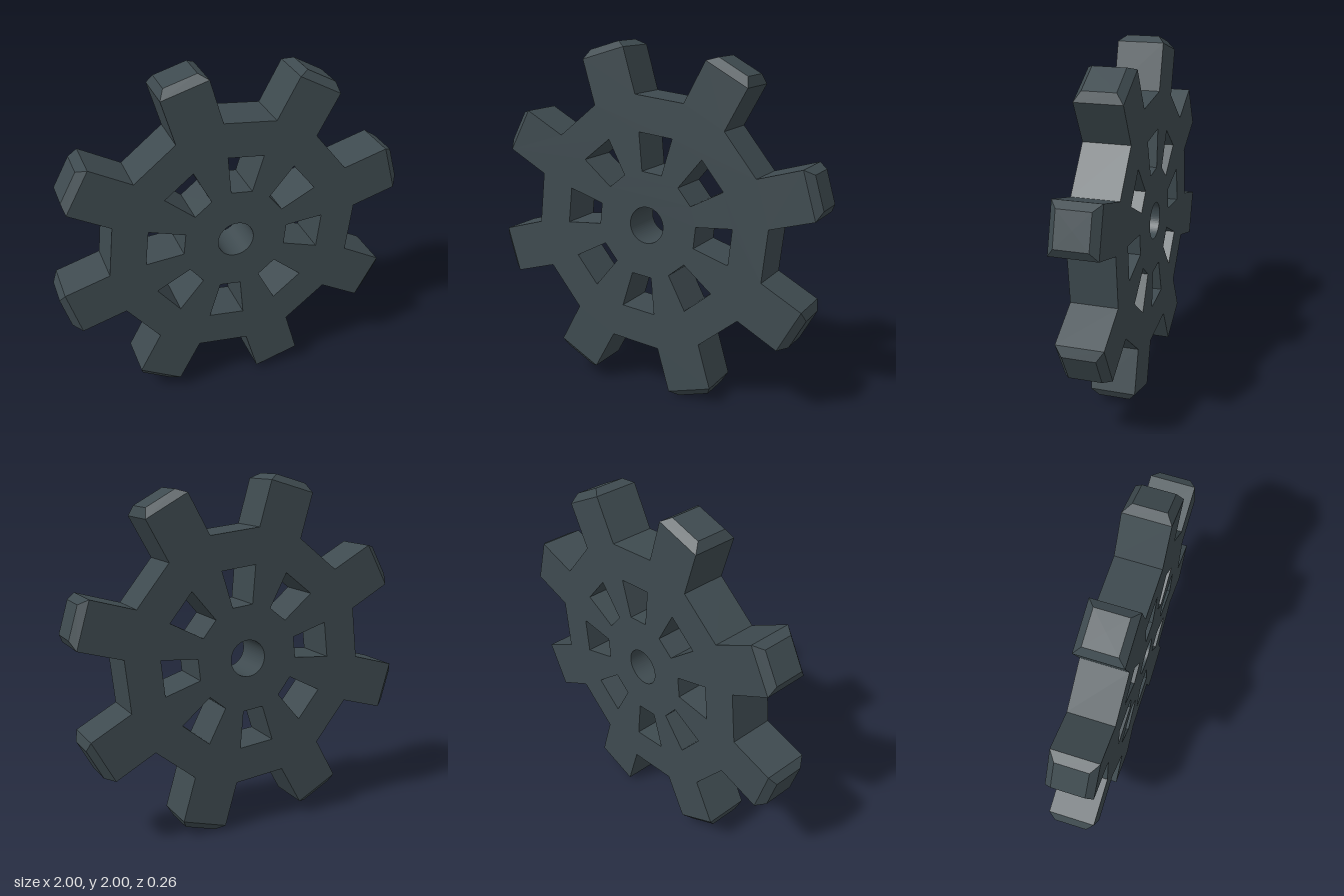
import * as THREE from 'three';

const TEETH = 8;
const STEP = (Math.PI * 2) / TEETH;
const START = THREE.MathUtils.degToRad(16.2);
const HALF_DEPTH = 0.128;
const HALF_WIDTH = 0.135;
const ROOT = 0.714;
const SHOULDER = 0.974;
const TIP = 1.015;

// Point at radial distance u and sideways offset v along a given angle
function polar(angle, u, v) {
  const c = Math.cos(angle), s = Math.sin(angle);
  return new THREE.Vector2(u * c - v * s, u * s + v * c);
}

export function createModel() {
  const model = new THREE.Group();
  model.name = 'gear';
  const metal = new THREE.MeshStandardMaterial({ color: 0x3e4a4f, flatShading: true });
  metal.name = 'dark slate metal';

  const wheel = new THREE.Group();
  wheel.name = 'gearWheel';
  wheel.position.y = 1;
  model.add(wheel);

  // Toothed outline with straight roots, and a tapered window between teeth
  const outline = [];
  const windows = [];
  for (let i = 0; i < TEETH; i++) {
    const a = START + i * STEP;
    outline.push(
      polar(a, ROOT, -HALF_WIDTH), polar(a, SHOULDER, -HALF_WIDTH),
      polar(a, SHOULDER, HALF_WIDTH), polar(a, ROOT, HALF_WIDTH));
    const b = a + STEP / 2;
    windows.push(new THREE.Path([
      polar(b, 0.299, -0.061), polar(b, 0.299, 0.061),
      polar(b, 0.512, 0.103), polar(b, 0.512, -0.103)]));
  }
  const shape = new THREE.Shape(outline);
  const bore = new THREE.Path();
  bore.absarc(0, 0, 0.104, 0, Math.PI * 2, true);
  shape.holes.push(bore, ...windows);

  const bodyGeometry = new THREE.ExtrudeGeometry(shape, {
    depth: HALF_DEPTH * 2, bevelEnabled: false, curveSegments: 32,
  });
  bodyGeometry.translate(0, 0, -HALF_DEPTH);
  const body = new THREE.Mesh(bodyGeometry, metal);
  body.name = 'gearBody';
  wheel.add(body);

  // Chamfered cap on the end of every tooth
  const tipGeometry = new THREE.CylinderGeometry(0.7 * Math.SQRT2, Math.SQRT2, TIP - SHOULDER, 4, 1);
  tipGeometry.rotateY(Math.PI / 4);
  tipGeometry.scale(HALF_WIDTH, 1, HALF_DEPTH);
  tipGeometry.translate(0, (SHOULDER + TIP) / 2, 0);
  for (let i = 0; i < TEETH; i++) {
    const tip = new THREE.Mesh(tipGeometry, metal);
    tip.name = `toothTip${i + 1}`;
    tip.rotation.z = START + i * STEP - Math.PI / 2;
    wheel.add(tip);
  }
  return model;
}
